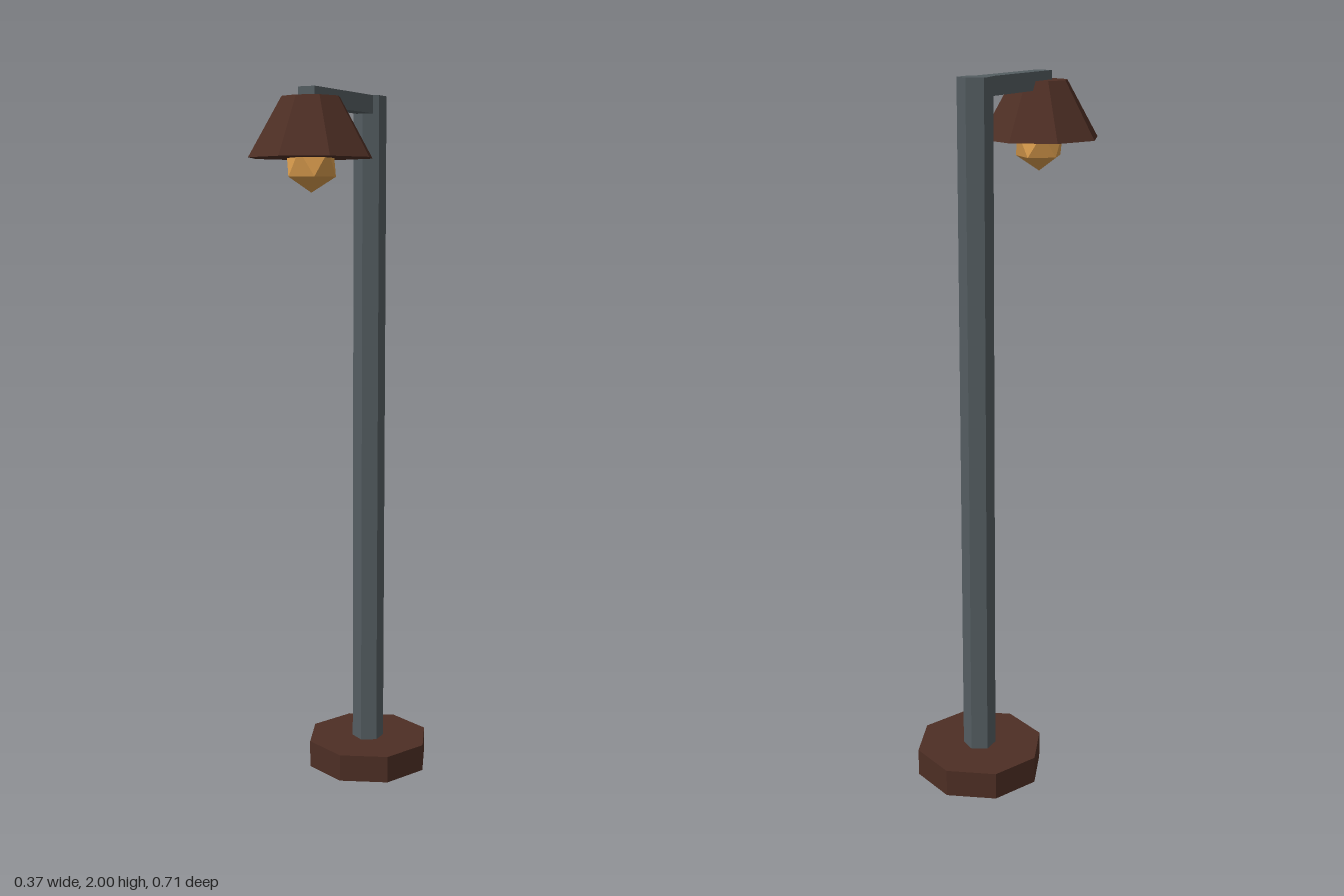
import * as THREE from 'three';

export function createModel() {
  const group = new THREE.Group();
  const material = (name, color) => {
    const m = new THREE.MeshStandardMaterial({ color, flatShading: true });
    m.name = name;
    return m;
  };
  const rust = material('rust brown', 0x4d2e24);
  const steel = material('steel grey', 0x545d61);
  const glow = material('amber', 0xd79a4c);

  const add = (name, geometry, mat, y, z) => {
    const mesh = new THREE.Mesh(geometry, mat);
    mesh.name = name;
    mesh.position.set(0, y, z);
    group.add(mesh);
  };

  const poleZ = -0.168;
  const lampZ = 0.18;

  // Octagonal foot and hexagonal pole
  add('base', new THREE.CylinderGeometry(0.186, 0.186, 0.08, 8), rust, 0.04, poleZ);
  add('pole', new THREE.CylinderGeometry(0.047, 0.047, 1.99, 6), steel, 1.005, poleZ);

  // Arm reaching forward from the pole top
  const armEnd = 0.205;
  add('arm', new THREE.BoxGeometry(0.05, 0.05, armEnd - poleZ), steel, 1.975, (armEnd + poleZ) / 2);

  // Closed octagonal shade
  add('shade', new THREE.CylinderGeometry(0.08, 0.172, 0.158, 8), rust, 1.896, lampZ);

  // Faceted bulb, turned to stand on one corner
  const bulb = new THREE.IcosahedronGeometry(0.0745, 0);
  bulb.rotateX(-Math.atan((1 + Math.sqrt(5)) / 2));
  add('bulb', bulb, glow, 1.801, lampZ);

  return group;
}
